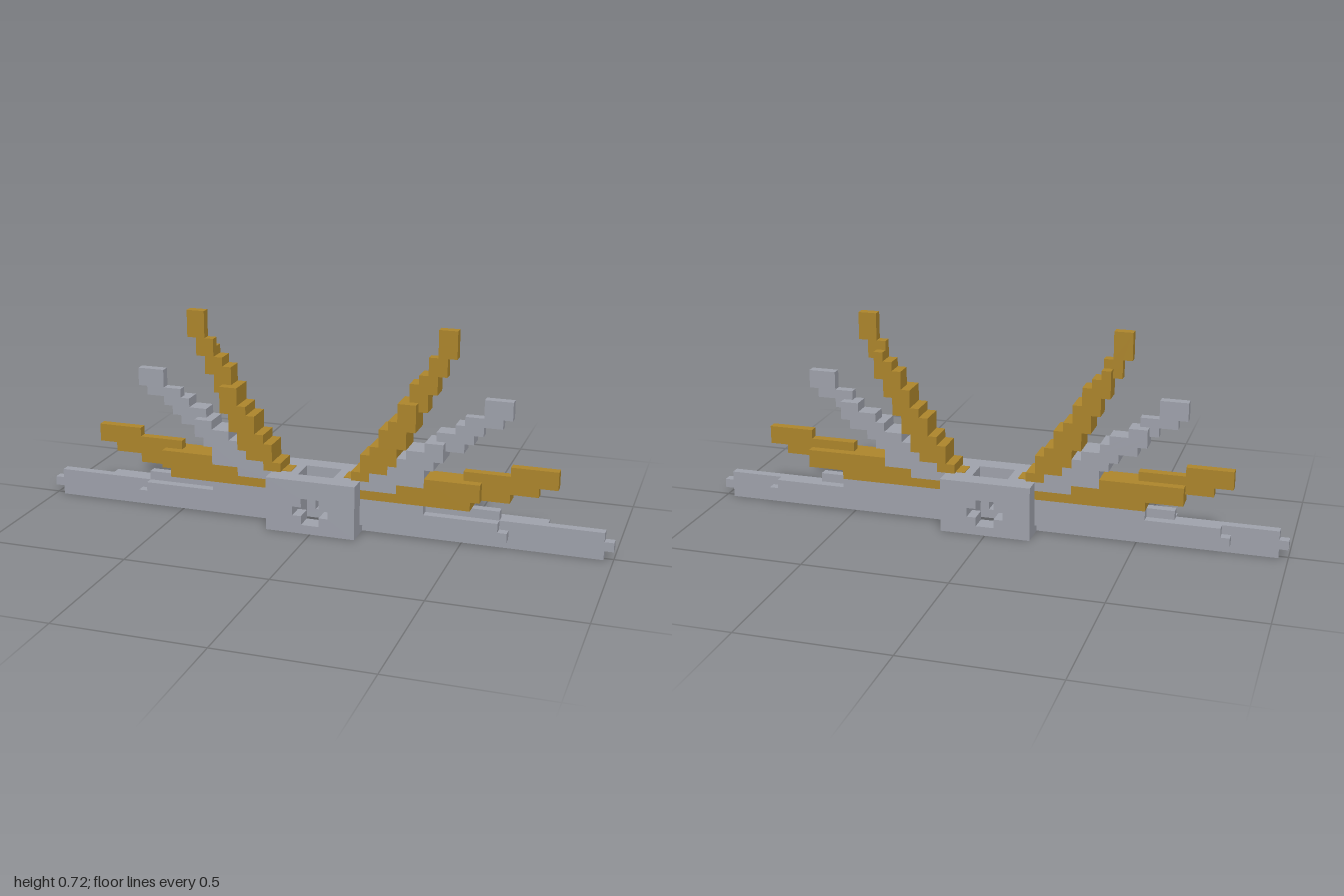
import * as THREE from 'three';

const U = 1 / 32; // one grid cell
const layerZ = { back: -1.5, middle: -0.5, front: 0.5 };

// Stepped outline from rows of [inner x, outer x], starting at row y0
function steppedShape(y0, rows, side) {
  const outer = rows.flatMap(([, b], i) => [[b, y0 + i], [b, y0 + i + 1]]);
  const inner = rows.flatMap(([a], i) => [[a, y0 + i], [a, y0 + i + 1]]).reverse();
  return new THREE.Shape([...outer, ...inner].map(([x, y]) => new THREE.Vector2(x * side * U, y * U)));
}

// Rows first..last of a feather: edges run straight between knots [row, inner, outer],
// snap to the grid, and stop at the reach
function featherRows(knots, first, last, reach) {
  const rows = [];
  for (let r = first; r <= last; r++) {
    const k = Math.max(1, knots.findIndex((p) => p[0] >= r));
    const [p, q] = [knots[k - 1], knots[k]];
    const t = (r - p[0]) / (q[0] - p[0]);
    const inner = Math.floor(THREE.MathUtils.lerp(p[1], q[1], t));
    const outer = Math.floor(THREE.MathUtils.lerp(p[2], q[2], t));
    rows.push([inner, Math.min(outer, reach)]);
  }
  return rows;
}

export function createModel() {
  const grey = new THREE.MeshStandardMaterial({ color: 0xa2a5af });
  grey.name = 'stone grey';
  const gold = new THREE.MeshStandardMaterial({ color: 0xb0882c });
  gold.name = 'pearl gold';
  const model = new THREE.Group();
  model.name = 'wings';

  const add = (parent, name, geo, mat, x = 0, y = 0, z = 0) => {
    const m = new THREE.Mesh(geo, mat);
    m.name = name;
    m.position.set(x * U, y * U, z * U);
    parent.add(m);
  };

  // Hub: two plates with a cross-shaped hole, joined by side blocks around a vertical shaft
  const hub = new THREE.Group();
  hub.name = 'hub';
  model.add(hub);
  const plate = new THREE.Shape([[-5, 0], [5, 0], [5, 6], [-5, 6]].map(([x, y]) => new THREE.Vector2(x * U, y * U)));
  plate.holes.push(steppedShape(1, [[-1, 1], [-2, 2], [-1, 1]], 1));
  const plateGeo = new THREE.ExtrudeGeometry(plate, { depth: 2 * U, bevelEnabled: false });
  add(hub, 'hubFront', plateGeo, grey, 0, 0, 1.5);
  add(hub, 'hubBack', plateGeo, grey, 0, 0, -3.5);

  for (const side of [1, -1]) {
    const label = side > 0 ? 'left' : 'right';
    add(hub, label + 'HubSide', new THREE.BoxGeometry(3 * U, 6 * U, 3 * U), grey, side * 3.5, 3, 0);

    const wing = new THREE.Group();
    wing.name = label + 'Wing';
    model.add(wing);
    const feather = (name, layer, mat, knots, first, last, reach) => {
      const shape = steppedShape(first, featherRows(knots, first, last, reach), side);
      const geo = new THREE.ExtrudeGeometry(shape, { depth: U, bevelEnabled: false });
      add(wing, `${name} ${layer}`, geo, mat, 0, 0, layerZ[layer]);
    };

    // Bottom feather: long middle bar with shorter bars on both faces
    feather('bottomFeather', 'middle', grey, [[0, 5, 31], [1, 5, 32], [2, 5, 31], [3, 5, 20]], 0, 3, 32);
    feather('bottomFeather', 'front', grey, [[1, 5, 21], [2, 5, 20], [3, 5, 12]], 1, 3, 21);
    feather('bottomFeather', 'back', grey, [[1, 5, 26], [2, 5, 25], [3, 5, 17]], 1, 3, 26);

    // Low feather
    const low = [[4, 5, 17], [5, 9, 21], [6, 12, 24], [7, 16, 26], [8, 21, 26]];
    feather('lowFeather', 'middle', gold, low, 4, 8, 26);
    feather('lowFeather', 'front', gold, low, 4, 6, 18);
    feather('lowFeather', 'back', gold, low, 4, 6, 21);

    // Middle feather
    const mid = [[5, 5, 9], [6, 6, 12], [7, 8.1, 12.4], [14, 18.1, 21.4], [15, 18.1, 21.4]];
    feather('middleFeather', 'middle', grey, mid, 5, 15, 21);
    feather('middleFeather', 'front', grey, mid, 5, 10, 14);
    feather('middleFeather', 'back', grey, mid, 5, 12, 17);

    // Top feather
    const top = [[6, 4, 6], [7, 5.2, 8.5], [20, 13.5, 15.5], [22, 13.5, 15.5]];
    feather('topFeather', 'middle', gold, top, 6, 22, 15);
    feather('topFeather', 'front', gold, top, 6, 14, 11);
    feather('topFeather', 'back', gold, top, 6, 18, 13);

    // Gold root showing on top of the hub
    add(wing, 'featherRoot', new THREE.BoxGeometry(2 * U, 0.004, 2 * U), gold, side * 4, 6, 0);
  }
  return model;
}
